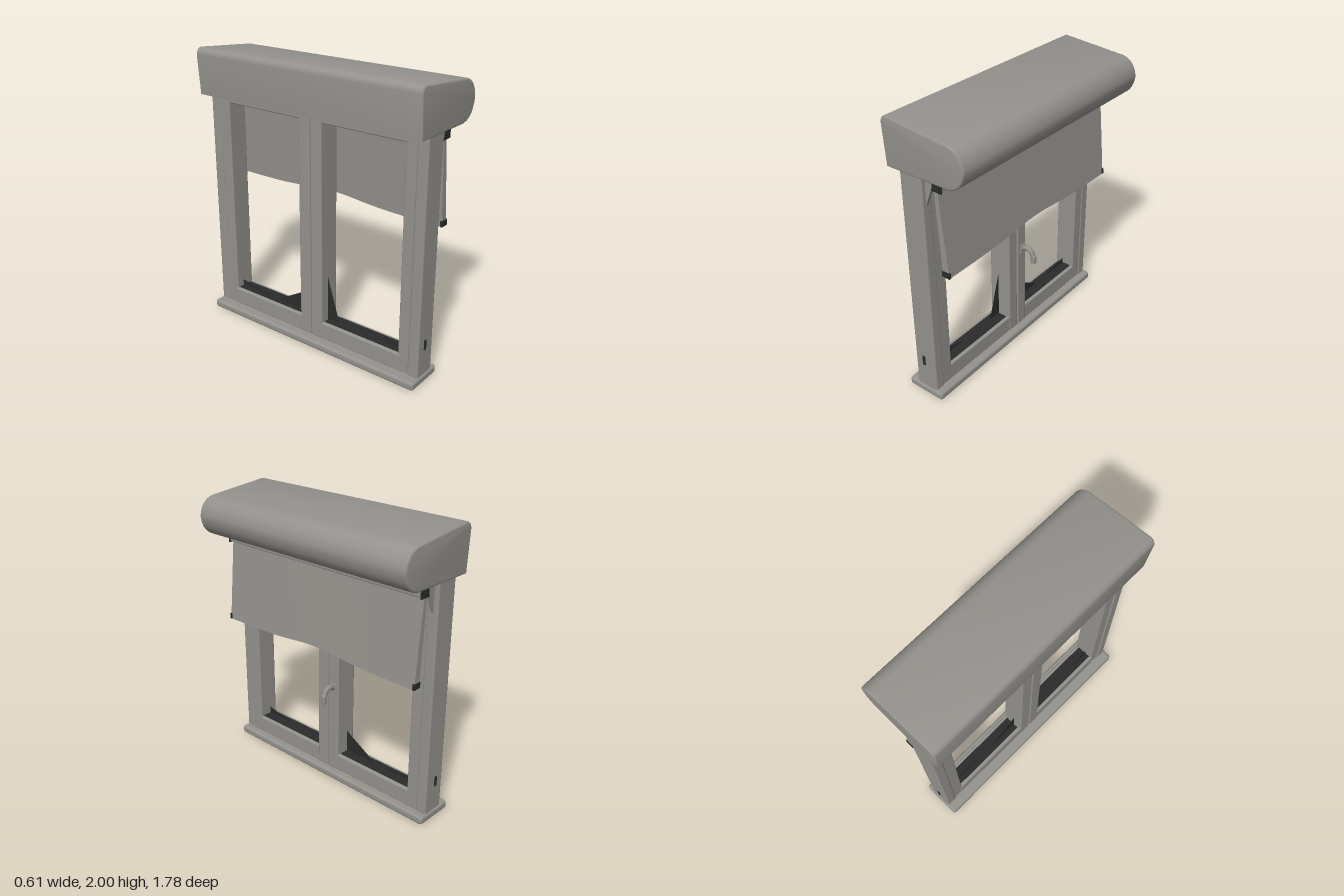
import * as THREE from 'three';
import { toCreasedNormals } from 'three/addons/utils/BufferGeometryUtils.js';
import { RoundedBoxGeometry } from 'three/addons/geometries/RoundedBoxGeometry.js';

export function createModel() {
  const model = new THREE.Group();
  const grey = new THREE.MeshStandardMaterial({ color: 0x94928d });
  grey.name = 'warm grey';
  const dark = new THREE.MeshStandardMaterial({ color: 0x2b2b2b, side: THREE.DoubleSide });
  dark.name = 'dark grey';

  const add = (name, geometry, material = grey) => {
    const mesh = new THREE.Mesh(geometry, material);
    mesh.name = name;
    model.add(mesh);
    return mesh;
  };
  // Box given by its minimum and maximum on each axis, with softened edges
  const block = (name, [x0, x1], [y0, y1], [z0, z1], radius = 0.01, material = grey) => {
    const size = [x1 - x0, y1 - y0, z1 - z0];
    const geometry = radius ? new RoundedBoxGeometry(...size, 2, radius) : new THREE.BoxGeometry(...size);
    add(name, geometry, material).position.set((x0 + x1) / 2, (y0 + y1) / 2, (z0 + z1) / 2);
  };

  // Roller housing: rounded-nose profile swept along z
  const b = 0.012;
  const profile = new THREE.Shape();
  profile.moveTo(-0.28, 1.69);
  profile.lineTo(0.17, 1.69);
  profile.bezierCurveTo(0.25, 1.695, 0.285, 1.75, 0.293, 1.82);
  profile.bezierCurveTo(0.29, 1.88, 0.25, 1.935, 0.19, 1.942);
  profile.lineTo(-0.27, 1.988);
  profile.quadraticCurveTo(-0.296, 1.98, -0.297, 1.95);
  profile.lineTo(-0.28, 1.69);
  const housing = new THREE.ExtrudeGeometry(profile, {
    depth: 1.78 - 2 * b, bevelEnabled: true, bevelThickness: b, bevelSize: b, bevelSegments: 3, curveSegments: 12,
  });
  housing.translate(0, 0, -0.89 + b);
  add('rollerHousing', toCreasedNormals(housing, 0.7));

  // Sill under the frame
  block('sill', [-0.27, 0.02], [0.005, 0.065], [-0.89, 0.89], 0.02);

  // Outer frame, sash stiles and dark side fittings
  for (const s of [-1, 1]) {
    const span = (a, c) => [a * s, c * s].sort((p, q) => p - q);
    block('outerPost', [-0.2, -0.03], [0.05, 1.7], span(0.8, 0.88), 0.015);
    block('sashOuterStile', [-0.19, -0.035], [0.06, 1.69], span(0.72, 0.81));
    block('sashMiddleStile', [-0.2, -0.03], [0.06, 1.69], span(0.002, 0.095), 0.012);
    block('sashBottomRail', [-0.195, -0.035], [0.06, 0.185], span(0.08, 0.74));
    block('sashTopRail', [-0.19, -0.035], [1.62, 1.69], span(0.08, 0.74));
    block('railGasket', [-0.17, -0.06], [0.183, 0.189], span(0.1, 0.72), 0, dark);
    block('sideFitting', [-0.135, -0.115], [0.25, 0.32], span(0.878, 0.886), 0, dark);
    block('shutterEndCap', [0.0, 0.095], [1.605, 1.69], span(0.842, 0.85), 0, dark);
    block('shutterBottomStop', [0.06, 0.12], [1.03, 1.07], span(0.835, 0.85), 0, dark);

    // Tapered gusset between post and housing
    const gusset = new THREE.Shape([[-0.03, 1.49], [0.02, 1.62], [0.03, 1.69], [-0.03, 1.69]]
      .map(p => new THREE.Vector2(...p)));
    const g = new THREE.ExtrudeGeometry(gusset, { depth: 0.02, bevelEnabled: false });
    g.translate(0, 0, s * 0.84 - 0.01);
    add('guideGusset', g);
  }

  // Dark corner gussets in the openings, drawn in (z, y)
  const corners = [
    [[0.095, 0.18], [0.2, 0.18], [0.095, 0.53]],
    [[0.725, 0.18], [0.43, 0.18], [0.725, 0.24]],
    [[-0.09, 0.18], [-0.38, 0.18], [-0.09, 0.35]],
    [[-0.725, 0.18], [-0.37, 0.18], [-0.725, 0.235]],
  ];
  for (const corner of corners) {
    const g = new THREE.ShapeGeometry(new THREE.Shape(corner.map(p => new THREE.Vector2(-p[0], p[1]))));
    g.rotateY(Math.PI / 2);
    g.translate(-0.13, 0, 0);
    add('cornerWeb', g, dark);
  }

  // Shutter head strip and hanging shutter with a slightly wavy lower edge
  block('shutterHead', [0.0, 0.09], [1.61, 1.7], [-0.842, 0.842], 0.008);
  const curtain = new THREE.BoxGeometry(1, 1, 1.69, 1, 6, 24);
  const pos = curtain.attributes.position;
  for (let i = 0; i < pos.count; i++) {
    const t = 0.5 - pos.getY(i);
    const z = pos.getZ(i);
    const wave = 0.035 * Math.exp(-(((z + 0.02) / 0.3) ** 2));
    const thickness = 0.028 + 0.022 * t;
    pos.setX(i, 0.045 + 0.045 * t + pos.getX(i) * thickness);
    pos.setY(i, 1.62 - t * (0.59 - wave));
  }
  add('shutterCurtain', toCreasedNormals(curtain, 0.6));

  // Window handle: stem out of the sash, grip bent downwards
  const path = new THREE.CatmullRomCurve3([[-0.035, 0.71], [0.0, 0.735], [0.045, 0.725], [0.065, 0.685], [0.07, 0.64]]
    .map(([x, y]) => new THREE.Vector3(x, y, -0.055)));
  add('handle', new THREE.TubeGeometry(path, 16, 0.018, 8));
  block('handleGripEnd', [0.05, 0.088], [0.63, 0.7], [-0.075, -0.04], 0.012);
  block('handlePlate', [-0.032, -0.022], [0.68, 0.75], [-0.085, -0.03], 0.004);

  return model;
}
